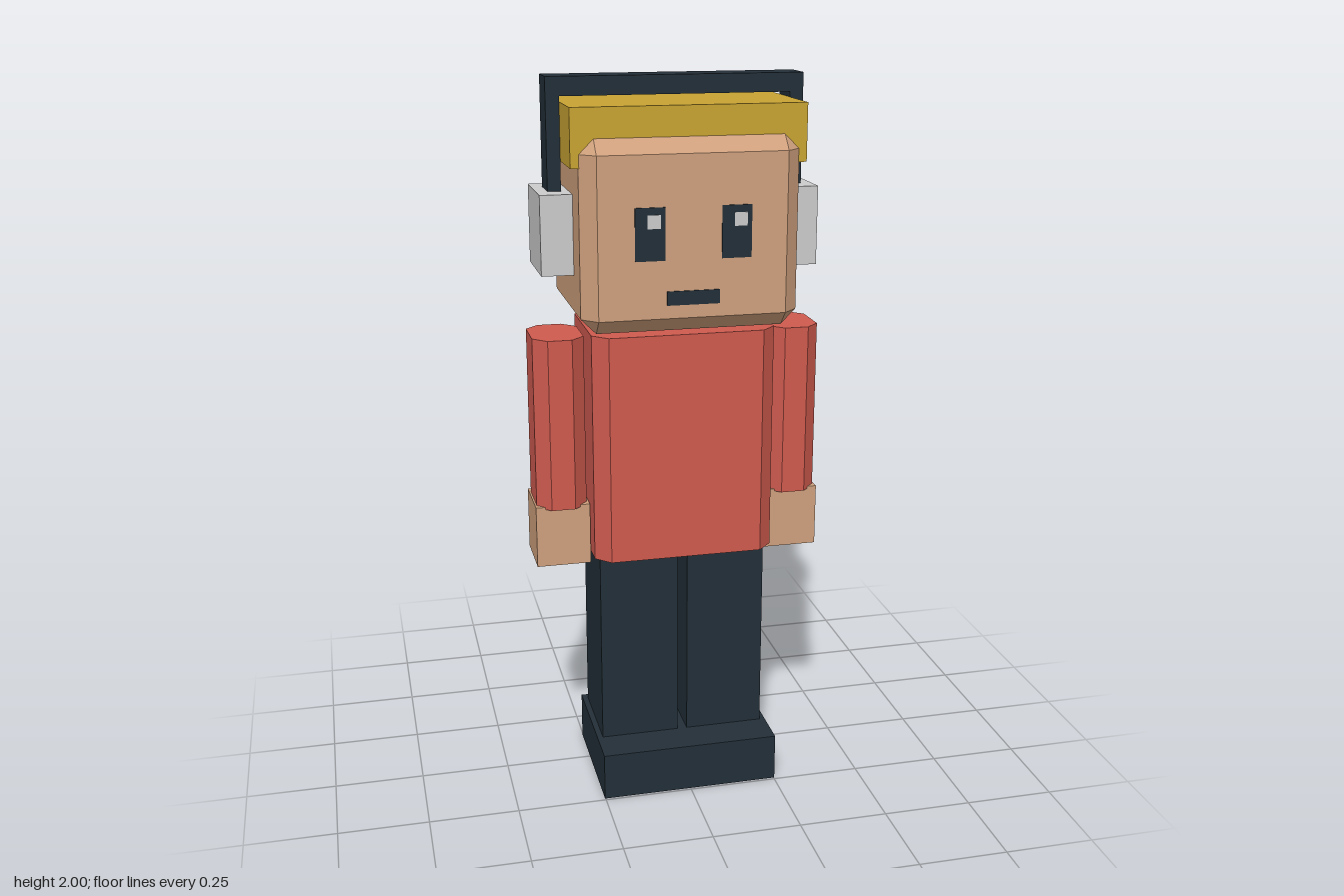
import * as THREE from 'three';
import { ConvexGeometry } from 'three/addons/geometries/ConvexGeometry.js';

const mat = (name, color) => {
  const m = new THREE.MeshStandardMaterial({ color });
  m.name = name;
  return m;
};

export function createModel() {
  const model = new THREE.Group();
  model.name = 'blockFigure';
  const skin = mat('skin', 0xcfa07d);
  const red = mat('shirtRed', 0xcf5b4f);
  const blonde = mat('hairBlonde', 0xc9a433);
  const navy = mat('darkNavy', 0x232f38);
  const grey = mat('lightGrey', 0xcccccc);

  const add = (name, geo, material) => {
    const mesh = new THREE.Mesh(geo, material);
    mesh.name = name;
    model.add(mesh);
    return mesh;
  };

  // Plain block given by its limits on each axis
  const block = (name, material, [x0, x1], [y0, y1], [z0, z1]) =>
    add(name, new THREE.BoxGeometry(x1 - x0, y1 - y0, z1 - z0), material)
      .position.set((x0 + x1) / 2, (y0 + y1) / 2, (z0 + z1) / 2);

  // Block with bevelled edges: vertical bevel c, top and bottom bevel cy
  const bevelled = (name, material, [x0, x1], [y0, y1], [z0, z1], c, cy) => {
    const hx = (x1 - x0) / 2, hy = (y1 - y0) / 2, hz = (z1 - z0) / 2;
    const points = [];
    for (const sx of [-1, 1]) for (const sy of [-1, 1]) for (const sz of [-1, 1]) {
      const p = (x, y, z) => points.push(new THREE.Vector3(sx * x, sy * y, sz * z));
      p(hx, hy - cy, hz - c);
      p(hx - c, hy - cy, hz);
      if (cy > 0) p(hx - c, hy, hz - c);
    }
    add(name, new ConvexGeometry(points), material)
      .position.set((x0 + x1) / 2, (y0 + y1) / 2, (z0 + z1) / 2);
  };

  // Head and torso
  bevelled('head', skin, [-0.29, 0.29], [1.357, 1.86], [-0.23, 0.249], 0.04, 0.04);
  bevelled('torso', red, [-0.252, 0.252], [0.7, 1.336], [-0.163, 0.184], 0.04, 0);

  // Hair: cap over the top and a deep block at the back
  block('hairTop', blonde, [-0.31, 0.31], [1.785, 1.936], [-0.138, 0.211]);
  block('hairBack', blonde, [-0.31, 0.31], [1.474, 1.936], [-0.252, -0.138]);

  // Shoes form one slab
  block('shoes', navy, [-0.252, 0.252], [0, 0.136], [-0.135, 0.243]);

  // Headband bridge
  block('headbandTop', navy, [-0.346, 0.346], [1.95, 2], [-0.039, 0.056]);

  // Face
  block('mouth', navy, [-0.07, 0.07], [1.432, 1.469], [0.246, 0.252]);

  // Mirrored parts
  for (const [s, side] of [[1, 'left'], [-1, 'right']]) {
    const span = (a, b) => (s > 0 ? [a, b] : [-b, -a]);
    bevelled(side + 'Arm', red, span(0.26, 0.4), [0.837, 1.318], [-0.085, 0.106], 0.037, 0);
    block(side + 'Hand', skin, span(0.254, 0.405), [0.668, 0.843], [-0.074, 0.09]);
    block(side + 'Leg', navy, span(0.014, 0.236), [0.13, 0.705], [-0.115, 0.134]);
    block(side + 'HeadbandArm', navy, span(0.31, 0.346), [1.69, 1.955], [-0.039, 0.056]);
    block(side + 'EarCup', grey, span(0.28, 0.376), [1.495, 1.707], [-0.098, 0.115]);
    block(side + 'Eye', navy, span(0.075, 0.154), [1.55, 1.687], [0.246, 0.252]);
    const gx = s * 0.1145 + 0.01;
    block(side + 'EyeGlint', grey, [gx - 0.017, gx + 0.017], [1.633, 1.668], [0.247, 0.254]);
  }
  return model;
}
